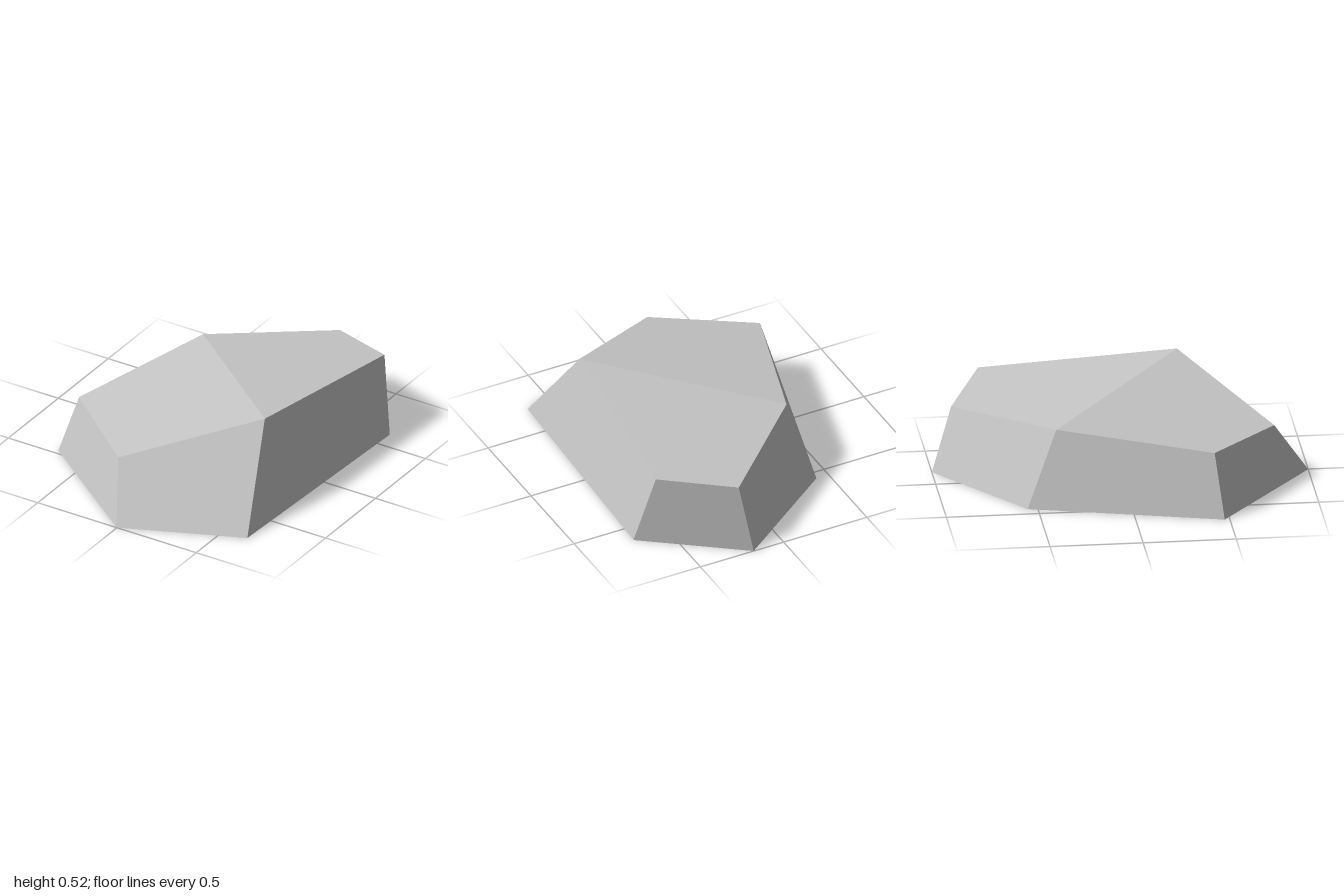
import * as THREE from 'three';

// Six corners of the ground outline, counter-clockwise from the front
const base = [
  [-0.003, 0, 1], [0.647, 0, 0.722], [0.703, 0, -0.615],
  [0.18, 0, -1], [-0.427, 0, -0.555], [-0.703, 0, 0.472],
].map((p) => new THREE.Vector3(...p));

// Matching corners of the uneven top
const crown = [
  [-0.115, 0.303, 0.805], [0.526, 0.518, 0.355], [0.614, 0.422, -0.703],
  [0.214, 0.358, -0.893], [-0.333, 0.41, -0.39], [-0.598, 0.342, 0.43],
].map((p) => new THREE.Vector3(...p));

// Facets as polygons, each fanned from its first corner with one flat normal
function facetGeometry(facets) {
  const positions = [], normals = [];
  for (const f of facets) {
    const n = new THREE.Vector3().subVectors(f[2], f[0])
      .cross(new THREE.Vector3().subVectors(f[3], f[1])).normalize();
    for (let i = 1; i < f.length - 1; i++) {
      for (const p of [f[0], f[i], f[i + 1]]) {
        positions.push(p.x, p.y, p.z);
        normals.push(n.x, n.y, n.z);
      }
    }
  }
  const g = new THREE.BufferGeometry();
  g.setAttribute('position', new THREE.Float32BufferAttribute(positions, 3));
  g.setAttribute('normal', new THREE.Float32BufferAttribute(normals, 3));
  return g;
}

export function createModel() {
  const group = new THREE.Group();
  group.name = 'rock';
  const stone = new THREE.MeshStandardMaterial({ color: 0xc6c6c6 });
  stone.name = 'stone grey';

  const add = (name, facets) => {
    const mesh = new THREE.Mesh(facetGeometry(facets), stone);
    mesh.name = name;
    group.add(mesh);
  };

  // Sloping sides
  add('sides', base.map((p, i) => {
    const j = (i + 1) % base.length;
    return [p, base[j], crown[j], crown[i]];
  }));

  // Two facets meeting along the ridge
  const [a, b, c, d, e, f] = crown;
  add('top', [[a, b, e, f], [b, c, d, e]]);

  // Flat underside
  add('underside', [[...base].reverse()]);
  return group;
}
